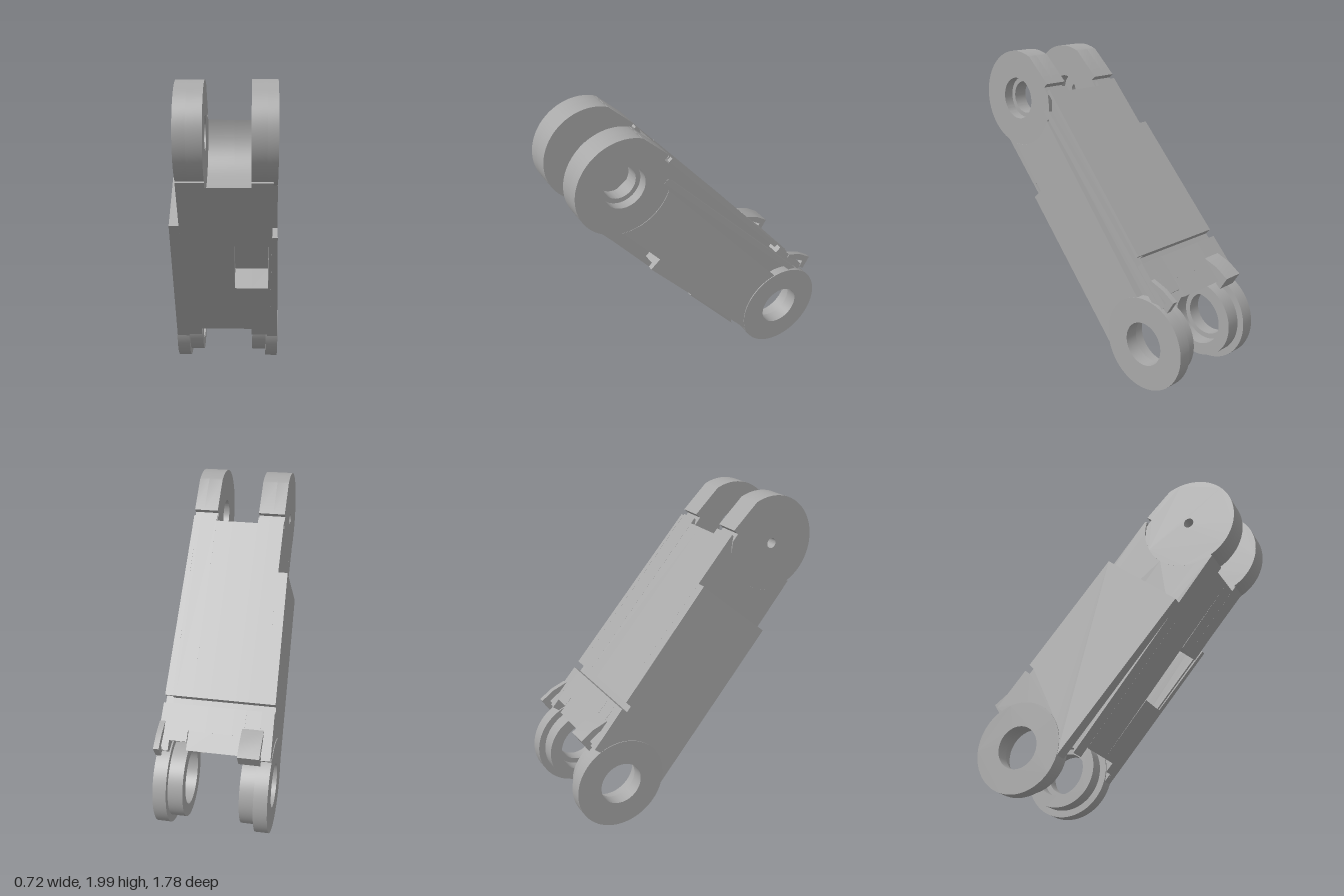
import * as THREE from 'three';
import { toCreasedNormals } from 'three/addons/utils/BufferGeometryUtils.js';

const grey = new THREE.MeshStandardMaterial({ color: 0xa8a8a8 });
grey.name = 'plain grey';

// Profiles use (t, s): s runs along the link from lower to upper pivot, t towards its back.
const TILT = Math.atan2(0.644, 0.765);
const UPPER = 1.81;
const rightFace = s => 0.355 - 0.019 * s;
const leftFace = s => -0.362 + 0.02 * s;
const at = (v, s) => (typeof v === 'function' ? v(s) : v);

// Extrudes a profile from x0 to x1; either limit may taper along the link
function slab(parent, name, shape, x0, x1) {
  const g = new THREE.ExtrudeGeometry(shape, { depth: 1, bevelEnabled: false, curveSegments: 40 });
  const p = g.attributes.position;
  for (let i = 0; i < p.count; i++) {
    const s = p.getY(i);
    p.setZ(i, p.getZ(i) < 0.5 ? at(x0, s) : at(x1, s));
  }
  g.rotateZ(TILT).translate(0.585, 0.305, 0).rotateY(Math.PI / 2);
  const mesh = new THREE.Mesh(toCreasedNormals(g, 0.5), grey);
  mesh.name = name;
  parent.add(mesh);
}

const poly = pts => new THREE.Shape(pts.map(([t, s]) => new THREE.Vector2(t, s)));

function ring(r, hole) {
  const shape = new THREE.Shape().absarc(0, 0, r, 0, Math.PI * 2, false);
  shape.holes.push(new THREE.Path().absarc(0, 0, hole, 0, Math.PI * 2, true));
  return shape;
}

// Body section: hollowed around both pivots, grooved across the back
function bodyProfile(lowR, highR, pocket) {
  const a = Math.acos(Math.min(0.92, 0.31 / lowR));
  const b = Math.acos(Math.min(0.92, 0.3 / highR));
  const shape = new THREE.Shape();
  shape.moveTo(-0.315, lowR * Math.sin(a));
  shape.absarc(0, 0, lowR, Math.PI - a, a, true);
  const back = [[0.328, lowR * Math.sin(a)], [0.32, 0.416], [0.275, 0.416], [0.275, 0.458],
    [0.321, 0.464], [0.3, UPPER - highR * Math.sin(b)]];
  back.forEach(([t, s]) => shape.lineTo(t, s));
  shape.absarc(0, UPPER, highR, -b, b - Math.PI, true);
  shape.lineTo(-0.297, UPPER - highR * Math.sin(b));
  if (pocket) {
    [[-0.305, 1.135], [-0.14, 1.135], [-0.14, 0.717], [-0.31, 0.717]].forEach(([t, s]) => shape.lineTo(t, s));
  }
  shape.holes.push(new THREE.Path([[-0.272, 1.215], [-0.272, 1.295], [-0.217, 1.295], [-0.217, 1.215]]
    .map(([t, s]) => new THREE.Vector2(t, s))));
  return shape;
}

// Upper pivot cheek with a straight shoulder on its back
function cheekProfile(hole) {
  const shape = new THREE.Shape();
  shape.moveTo(0.305, 1.717);
  shape.lineTo(0.279, 1.948);
  shape.absarc(0, UPPER, 0.31, 0.46, Math.PI * 2 - 0.8, false);
  shape.lineTo(0.265, 1.66);
  shape.lineTo(0.265, 1.717);
  shape.holes.push(new THREE.Path().absarc(0, UPPER, hole, 0, Math.PI * 2, true));
  return shape;
}

export function createModel() {
  const model = new THREE.Group();
  model.name = 'armLink';

  // Main body, built across its width
  const body = new THREE.Group();
  body.name = 'body';
  model.add(body);
  [
    [-0.275, -0.18, 0.36, 0.31, false],
    [-0.18, -0.105, 0.4, 0.31, false],
    [-0.105, 0.06, 0.4, 0.34, false],
    [0.06, 0.17, 0.4, 0.34, true],
    [0.17, 0.28, 0.36, 0.31, true],
    [0.28, 0.298, 0.3, 0.31, false],
  ].forEach(([x0, x1, low, high, pocket]) => slab(body, 'bodySection', bodyProfile(low, high, pocket), x0, x1));

  // Left side plate, stopping short of the upper pivot
  const left = new THREE.Shape();
  left.moveTo(-0.315, 0.117);
  left.absarc(0, 0, 0.3, Math.PI - 0.4, 0.4, true);
  [[0.325, 0.117], [0.32, 0.416], [0.275, 0.416], [0.275, 0.458], [0.321, 0.464], [0.306, 1.322], [-0.303, 1.322]]
    .forEach(([t, s]) => left.lineTo(t, s));
  slab(model, 'leftSidePlate', left, leftFace, -0.275);

  // Right side plate, cut back along a slot beside the upper pivot
  const right = new THREE.Shape();
  right.moveTo(-0.315, 0.117);
  right.absarc(0, 0, 0.3, Math.PI - 0.4, 1.066, true);
  right.lineTo(0.145, 1.536);
  right.absarc(0, UPPER, 0.31, -1.084, 0.782 - Math.PI, true);
  right.lineTo(-0.22, 1.215);
  right.lineTo(-0.303, 1.215);
  slab(model, 'rightSidePlate', right, 0.298, rightFace);

  // Raised ribs on the right side
  slab(model, 'diagonalRib', poly([[0.24, 0.19], [0.28, 0.15], [0.2, 1.6], [0.16, 1.6]]), 0.298, rightFace);
  slab(model, 'backRib', poly([[0.297, 0.464], [0.321, 0.464], [0.301, 1.68], [0.275, 1.68]]), 0.298, rightFace);
  slab(model, 'lowerBackRib', poly([[0.285, 0.12], [0.328, 0.12], [0.32, 0.416], [0.275, 0.416]]), 0.298, rightFace);

  // Upper pivot cheeks with stepped bores
  [
    ['leftUpperCheek', -0.275, -0.2, 0.033],
    ['leftUpperCheek', -0.2, -0.105, 0.105],
    ['rightUpperCheek', 0.17, 0.26, 0.105],
    ['rightUpperCheek', 0.26, 0.323, 0.135],
  ].forEach(([name, x0, x1, hole]) => slab(model, name, cheekProfile(hole), x0, x1));

  // Lower pivot discs: wide outside, narrower inside
  [
    ['leftLowerDisc', -0.362, -0.275, 0.3, 0.14],
    ['leftLowerCollar', -0.275, -0.18, 0.255, 0.175],
    ['rightLowerDisc', 0.27, 0.355, 0.3, 0.14],
    ['rightLowerCollar', 0.175, 0.27, 0.255, 0.175],
  ].forEach(([name, x0, x1, r, hole]) => slab(model, name, ring(r, hole), x0, x1));

  // Flap and hooks behind the lower pivot
  slab(model, 'backFlap', poly([[0.285, 0.14], [0.333, 0.13], [0.32, 0.416], [0.27, 0.416]]), -0.165, 0.165);
  const hook = poly([[0.3, 0.29], [0.325, 0.3], [0.375, 0.21], [0.402, 0.113], [0.312, 0.084], [0.305, 0.125], [0.35, 0.14], [0.33, 0.21]]);
  slab(model, 'leftHook', hook, -0.3, -0.165);
  slab(model, 'rightHook', hook, 0.32, 0.355);

  return model;
}
